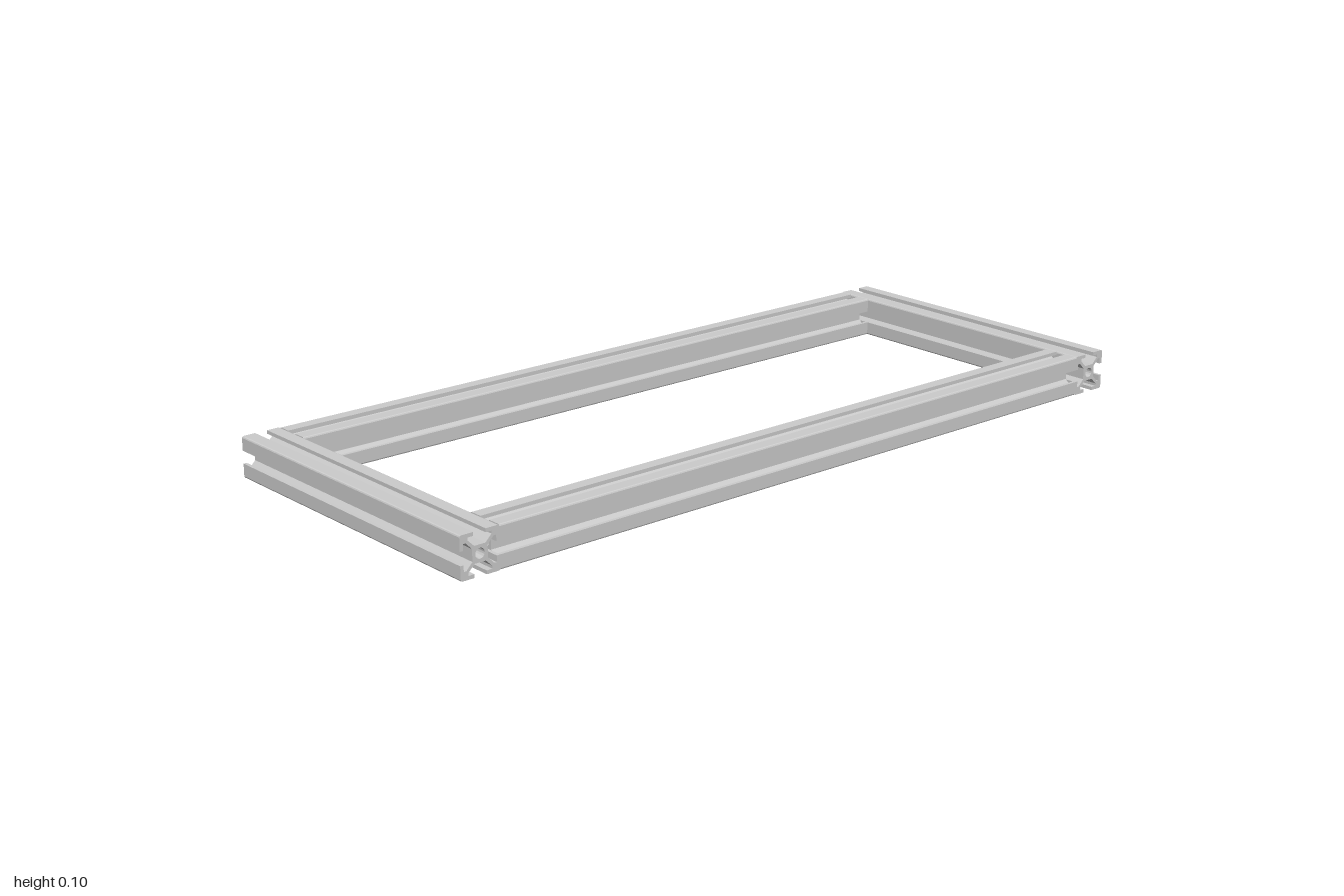
import * as THREE from 'three';

const SIZE = 0.1;      // side of the square profile
const WIDTH = 2;       // overall x
const DEPTH = 0.836;   // overall z

// One quarter of the slotted profile (units of 1/20 of its side): half a slot,
// then the rounded corner up to the next slot
const quarter = [
  [-2.8, 3.9], [2.8, 3.9], [6, 7], [6, 8.3], [3.1, 8.3], [3.1, 10],
  [9.2, 10], [9.75, 9.75], [10, 9.2],
  [10, 3.1], [8.3, 3.1], [8.3, 6], [7, 6],
];

function profileShape() {
  const s = SIZE / 20;
  const points = [];
  for (let k = 0; k < 4; k++) {
    for (const [x, y] of quarter) {
      // turn each quarter clockwise by 90 degrees
      const [c, n] = [[1, 0], [0, 1], [-1, 0], [0, -1]][k];
      points.push(new THREE.Vector2((x * c + y * n) * s, (y * c - x * n) * s));
    }
  }
  const shape = new THREE.Shape(points.reverse());
  // central bore
  const bore = new THREE.Path();
  bore.absarc(0, 0, 2.4 * s, 0, Math.PI * 2, true);
  shape.holes.push(bore);
  return shape;
}

export function createModel() {
  const group = new THREE.Group();
  group.name = 'slottedRailFrame';
  const material = new THREE.MeshStandardMaterial({ color: 0xcccccc });
  const shape = profileShape();

  // rail centred on its own length, running along z
  const railGeometry = (length) => {
    const g = new THREE.ExtrudeGeometry(shape, { depth: length, bevelEnabled: false, curveSegments: 8 });
    return g.translate(0, 0, -length / 2);
  };
  const sideGeometry = railGeometry(DEPTH);
  const crossGeometry = railGeometry(WIDTH - 2 * SIZE).rotateY(Math.PI / 2);

  const addRail = (name, geometry, x, z) => {
    const rail = new THREE.Mesh(geometry, material);
    rail.name = name;
    rail.position.set(x, SIZE / 2, z);
    group.add(rail);
  };

  // full-depth side rails, with the cross rails fitted between them
  const sx = (WIDTH - SIZE) / 2;
  const cz = (DEPTH - SIZE) / 2;
  addRail('leftSideRail', sideGeometry, sx, 0);
  addRail('rightSideRail', sideGeometry, -sx, 0);
  addRail('frontRail', crossGeometry, 0, cz);
  addRail('backRail', crossGeometry, 0, -cz);

  return group;
}
